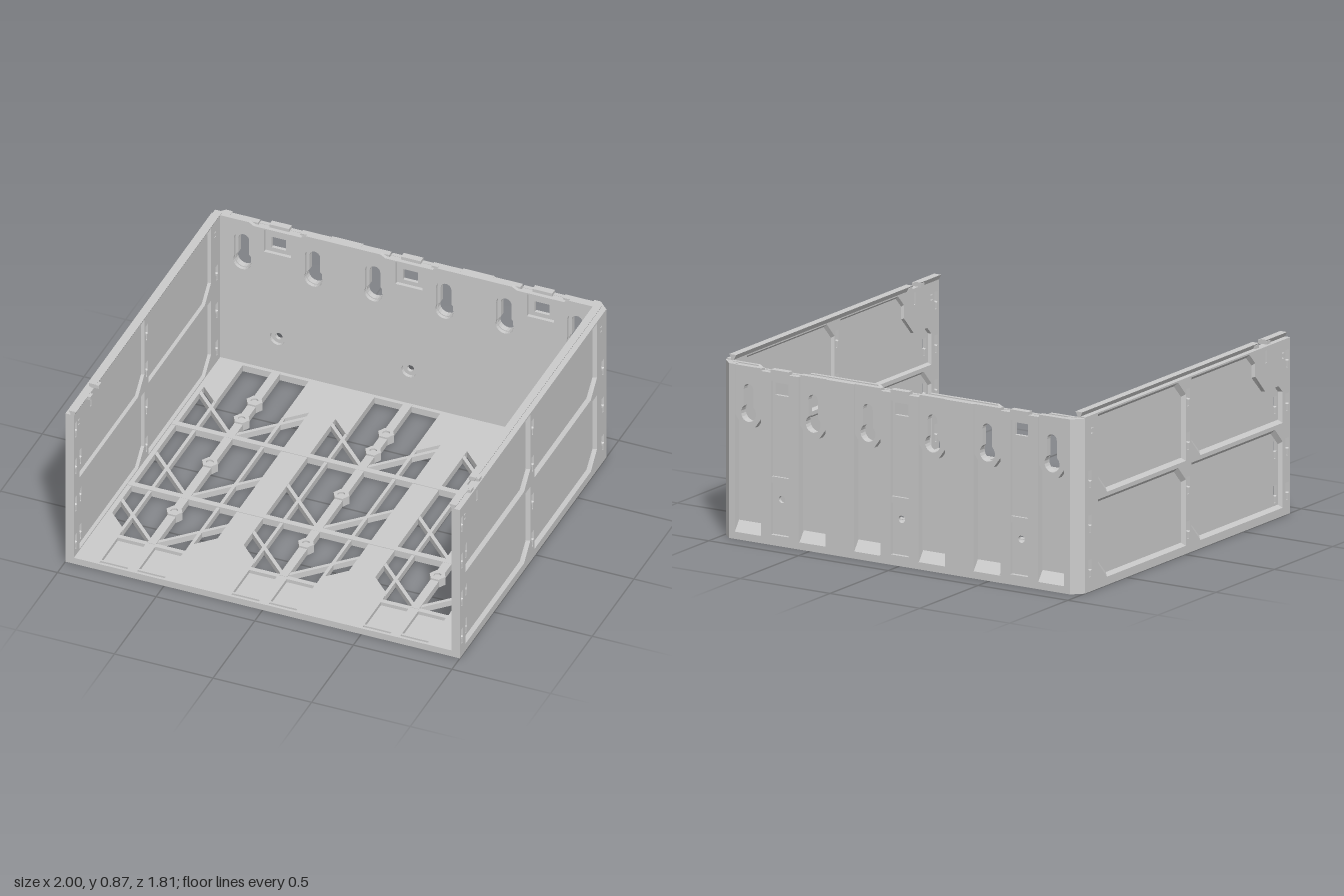
import * as THREE from 'three';

const mat = new THREE.MeshStandardMaterial({ color: 0xcccccc, flatShading: true });
const thinMat = new THREE.MeshStandardMaterial({ color: 0xcccccc, flatShading: true, side: THREE.DoubleSide });

const BAYS = [-0.667, 0, 0.667];
const KEYS = [-0.845, -0.485, -0.18, 0.18, 0.485, 0.845];

const rect = (x0, y0, x1, y1) => [[x0, y0], [x1, y0], [x1, y1], [x0, y1]];
const move = (pts, dx, dy) => pts.map(([x, y]) => [x + dx, y + dy]);
const ring = (cx, cy, r, n = 20) => Array.from({ length: n }, (_, i) => {
  const a = (i / n) * Math.PI * 2;
  return [cx + r * Math.cos(a), cy + r * Math.sin(a)];
});

// Upright slot with round ends; a larger bottom radius makes a keyhole
function slot(cx, y0, r0, y1, r1) {
  const pts = [];
  const open = Math.asin(Math.min(1, r1 / r0));
  for (let i = 0; i <= 14; i++) {
    const a = Math.PI / 2 + open + (i / 14) * (2 * Math.PI - 2 * open);
    pts.push([cx + r0 * Math.cos(a), y0 + r0 * Math.sin(a)]);
  }
  for (let i = 0; i <= 8; i++) {
    const a = (i / 8) * Math.PI;
    pts.push([cx + r1 * Math.cos(a), y1 + r1 * Math.sin(a)]);
  }
  return pts;
}

function extrude(outline, holes, depth) {
  const vec = (pts) => pts.map(([x, y]) => new THREE.Vector2(x, y));
  const shape = new THREE.Shape(vec(outline));
  holes.forEach((h) => shape.holes.push(new THREE.Path(vec(h))));
  return new THREE.ExtrudeGeometry(shape, { depth, bevelEnabled: false });
}

function add(group, name, geo, material = mat) {
  const mesh = new THREE.Mesh(geo, material);
  mesh.name = name;
  group.add(mesh);
  return mesh;
}

// Slabs spanning a range of x (outline in z,y), y (outline in x,z) or z (outline in x,y)
const slabX = (o, h, a, b) => extrude(o, h, b - a).rotateY(-Math.PI / 2).translate(b, 0, 0);
const slabY = (o, h, a, b) => extrude(o, h, b - a).rotateX(Math.PI / 2).translate(0, b, 0);
const slabZ = (o, h, a, b) => extrude(o, h, b - a).translate(0, 0, a);
const box = (x0, x1, y0, y1, z0, z1) =>
  new THREE.BoxGeometry(x1 - x0, y1 - y0, z1 - z0).translate((x0 + x1) / 2, (y0 + y1) / 2, (z0 + z1) / 2);

// Sloped border between a panel outline at one x and its inset copy at another
function slope(pts, xa, xb, inset) {
  const zs = pts.map((p) => p[0]), ys = pts.map((p) => p[1]);
  const mid = (v) => (Math.max(...v) + Math.min(...v)) / 2;
  const k = (v) => 1 - (2 * inset) / (Math.max(...v) - Math.min(...v));
  const inner = pts.map(([z, y]) => [mid(zs) + (z - mid(zs)) * k(zs), mid(ys) + (y - mid(ys)) * k(ys)]);
  const pos = [], idx = [];
  pts.forEach((p, i) => {
    pos.push(xa, p[1], p[0], xb, inner[i][1], inner[i][0]);
    const a = 2 * i, b = 2 * ((i + 1) % pts.length);
    idx.push(a, b, a + 1, b, b + 1, a + 1);
  });
  const geo = new THREE.BufferGeometry();
  geo.setAttribute('position', new THREE.Float32BufferAttribute(pos, 3));
  geo.setIndex(idx);
  geo.computeVertexNormals();
  return geo;
}

// Framed side wall with four recessed panels, keyhole slots and a top rail
function sideWall(s) {
  const g = new THREE.Group();
  g.name = s > 0 ? 'leftWall' : 'rightWall';
  const slab = (o, h, a, b) => (s > 0 ? slabX(o, h, a, b) : slabX(o, h, -b, -a));
  const panel = (z0, z1, y0, y1) =>
    [[z1, y0], [z1, y1 - 0.07], [z1 - 0.065, y1], [z0, y1], [z0, y0 + 0.08], [z0 + 0.075, y0]];
  const panels = [
    [[0.84, 0.45], [0.84, 0.6], [0.805, 0.635], [0.69, 0.635], [0.605, 0.725], [0.605, 0.79],
      [0.555, 0.842], [0.06, 0.842], [0.06, 0.53], [0.135, 0.45]],
    panel(-0.74, 0.01, 0.45, 0.842), panel(0.06, 0.84, 0.04, 0.43), panel(-0.74, 0.01, 0.04, 0.43),
  ];
  const key = [[-0.014, 0.04], [-0.014, -0.01], [-0.007, -0.015], [-0.007, -0.045],
    [0.007, -0.045], [0.007, -0.015], [0.014, -0.01], [0.014, 0.04]];
  const slots = [rect(0.692, 0.77, 0.708, 0.83)];
  for (const y of [0.115, 0.33, 0.545, 0.755])
    for (const z of [0.88, 0.032, -0.81]) if (z > -0.8 || y < 0.7) slots.push(move(key, z, y));
  for (const z of [0.865, -0.77]) for (const y of [0.76, 0.785]) slots.push(rect(z - 0.03, y, z - 0.01, y + 0.006));

  add(g, 'wallFrame', slab(rect(-0.85, 0, 0.905, 0.85), [...panels, ...slots], 0.957, 1));
  panels.forEach((p, i) => {
    const rows = [[0.545], [], [0.115, 0.33], []][i];
    add(g, 'recessedPanel', slab(p, rows.map((y) => move(key, 0.797, y)), 0.969, 0.984));
    add(g, 'panelBevel', slope(p, s, s * 0.984, 0.017), thinMat);
    add(g, 'panelBevelInside', slope(p, s * 0.957, s * 0.969, 0.012), thinMat);
  });
  // Dovetail rail in two lengths, with stops beside the gap
  const c = s * 0.964;
  for (const [z0, z1] of [[-0.85, 0.665], [0.73, 0.905]])
    add(g, 'topRail', slabZ([[c - 0.007, 0.848], [c + 0.007, 0.848], [c + 0.019, 0.872], [c - 0.019, 0.872]], [], z0, z1));
  for (const z of [0.645, 0.745])
    add(g, 'railStop', box(c - 0.02, c + 0.03, 0.848, 0.866, z - 0.015, z + 0.015));
  return g;
}

// Floor: two layers with three open bays crossed by ribs
function floor() {
  const g = new THREE.Group();
  g.name = 'floor';
  const outline = [[-1, 0.905], [1, 0.905], [1, -0.855], [0.95, -0.905], [-0.95, -0.905], [-1, -0.855]];
  const half = [[0.167, -0.83], [0.167, -0.5], [0.267, -0.6], [0.267, 0.5], [0.167, 0.6], [0.167, 0.65]];
  const bay = [...half, ...half.map(([x, z]) => [-x, z]).reverse()];
  const through = [], recess = [], grooves = [];
  for (const cx of BAYS) {
    through.push(move(bay, cx, 0));
    for (const s of [-1, 1]) {
      const x0 = cx + s * 0.095 - 0.07, x1 = cx + s * 0.095 + 0.07;
      through.push(rect(x0, 0.879, x1, 0.891));
      recess.push(rect(x0, 0.675, x1, 0.868));
    }
  }
  for (const x of [-0.964, -0.37, -0.3, 0.3, 0.37, 0.964]) grooves.push(rect(x - 0.014, -0.82, x + 0.014, 0.902));
  add(g, 'floorUnderside', slabY(outline, [...through, ...grooves], 0, 0.016));
  add(g, 'floorTop', slabY(outline, [...through, ...recess], 0.016, 0.034));

  for (const z of [-0.278, 0.252]) add(g, 'crossRib', box(-0.957, 0.957, 0.002, 0.037, z - 0.015, z + 0.015));
  for (const cx of BAYS) {
    add(g, 'centreRib', box(cx - 0.021, cx + 0.021, 0.002, 0.036, -0.84, 0.66));
    for (const s of [-1, 1]) {
      add(g, 'sideRib', box(cx + s * 0.173 - 0.008, cx + s * 0.173 + 0.008, 0.002, 0.032, -0.52, 0.62));
      for (const z of [-0.29, 0.24, 0.65]) {
        const rib = add(g, 'diagonalRib', new THREE.BoxGeometry(0.39, 0.03, 0.018));
        rib.position.set(cx + s * 0.136, 0.017, z - 0.136);
        rib.rotation.y = s * Math.PI / 4;
      }
    }
    for (const z of [-0.575, -0.42, -0.04, 0.385])
      add(g, 'screwBoss', slabY(ring(cx, z, 0.04, 6), [ring(cx, z, 0.018, 12)], 0, 0.045));
  }
  return g;
}

// Back wall: thin plate stiffened by outer columns, with keyholes and clips
function backWall() {
  const g = new THREE.Group();
  g.name = 'backWall';
  const front = -0.85, skin = -0.868, out = -0.905;
  const top = [];
  for (const cx of BAYS) top.push([cx - 0.145, 0.847], [cx - 0.12, 0.832], [cx + 0.12, 0.832], [cx + 0.145, 0.847]);
  const outline = [[0.957, 0], [0.957, 0.847], ...top.reverse(), [-0.957, 0.847], [-0.957, 0]];
  add(g, 'backPlate', slabZ(outline, [
    ...KEYS.map((x) => slot(x, 0.615, 0.046, 0.735, 0.043)),
    ...BAYS.map((x) => rect(x - 0.068, 0.7, x + 0.068, 0.825)),
    ...BAYS.map((x) => ring(x, 0.222, 0.038)),
  ], skin, front));

  for (const x of KEYS) {
    // Boss around the keyhole, and a sloped foot at the channel's end
    const boss = [[x - 0.072, 0.842], [x - 0.072, 0.6], [x - 0.035, 0.55], [x + 0.035, 0.55], [x + 0.072, 0.6], [x + 0.072, 0.842]];
    add(g, 'keyholeBoss', slabZ(boss, [slot(x, 0.615, 0.042, 0.73, 0.027)], -0.898, skin));
    add(g, 'channelFoot', slabX([[skin, 0.085], [skin, 0], [out, 0], [out, 0.035]], [], x - 0.072, x + 0.072));
  }
  for (const cx of BAYS) {
    // Clip column with window, long groove and screw hole
    const column = [[cx - 0.105, 0], [cx + 0.105, 0], [cx + 0.105, 0.83], [cx - 0.105, 0.83]];
    const window = rect(cx - 0.037, 0.722, cx + 0.037, 0.782);
    const hole = ring(cx, 0.222, 0.018);
    add(g, 'clipColumn', slabZ(column, [window, hole], -0.885, skin));
    for (const s of [-1, 1]) {
      const x = cx + s * 0.077;
      add(g, 'columnRib', box(x - 0.028, x + 0.028, 0, 0.832, out, -0.885));
    }
    add(g, 'clipBar', box(cx - 0.05, cx + 0.05, 0.795, 0.847, out, -0.872));
    add(g, 'columnFoot', box(cx - 0.05, cx + 0.05, 0, 0.05, out, -0.885));
    add(g, 'columnBridge', box(cx - 0.05, cx + 0.05, 0.3, 0.33, -0.898, -0.885));
  }
  for (const s of [-1, 1]) {
    const x = s * 0.3325;
    add(g, 'stiffener', box(x - 0.08, x + 0.08, 0, 0.842, out, skin));
    // Chamfered corner post
    const post = [[0.957, -0.84], [1, -0.84], [1, -0.855], [0.95, out], [0.917, out], [0.917, front - 0.005], [0.957, front - 0.005]];
    add(g, 'cornerPost', slabY(post.map(([px, z]) => [s * px, z]), [], 0, 0.845));
  }
  return g;
}

export function createModel() {
  const model = new THREE.Group();
  model.name = 'openTray';
  model.add(floor(), backWall(), sideWall(1), sideWall(-1));
  return model;
}
